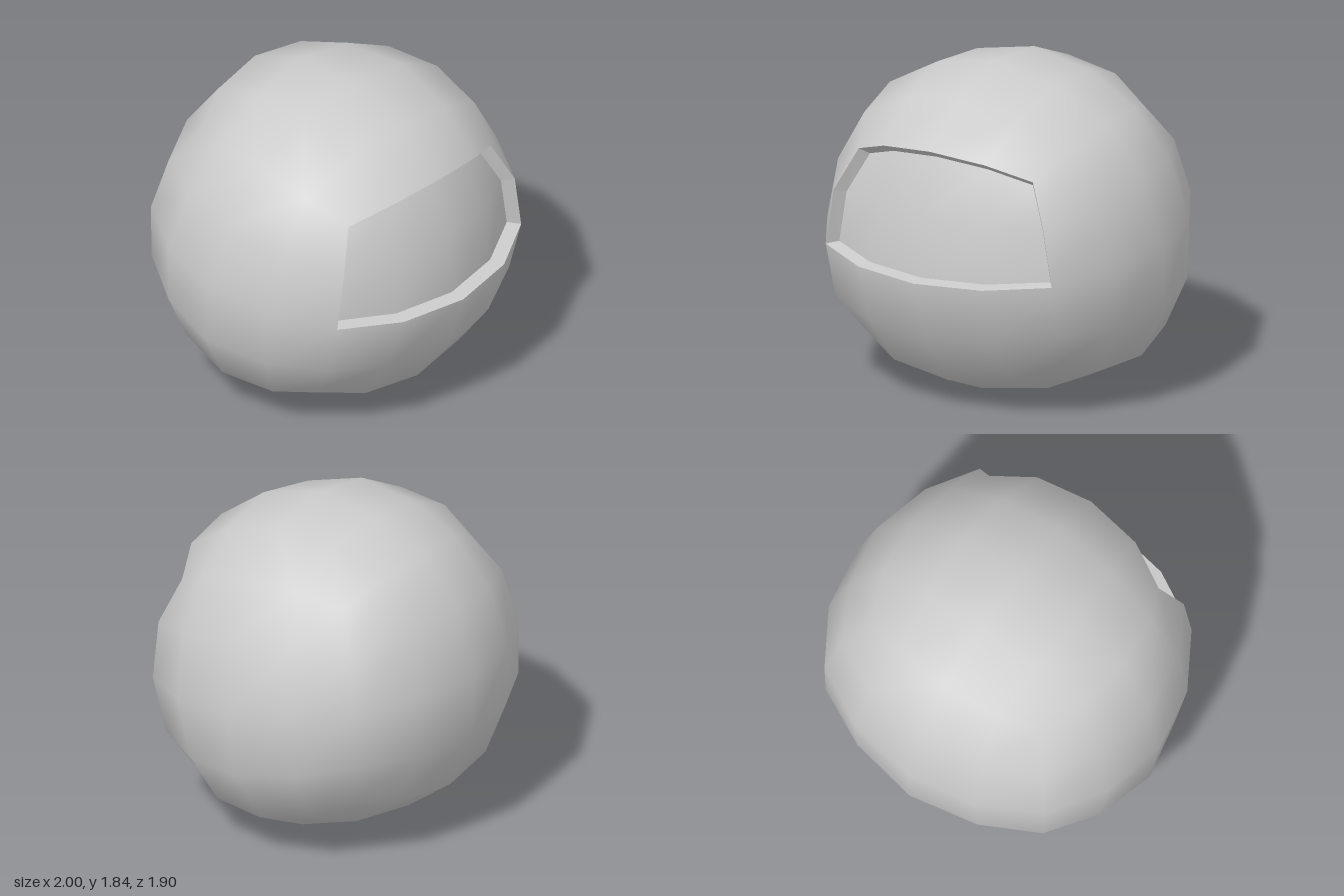
import * as THREE from 'three';
import { mergeVertices } from 'three/addons/utils/BufferGeometryUtils.js';

const TILT = THREE.MathUtils.degToRad(7.6);
const CENTRE_Y = 0.93;

// Maps a point of a cube (half size 1, quarter grid) onto the tilted, slightly egg-shaped ball
function toBall(p) {
  const c = p.toArray();
  const a = c.map(Math.abs).sort((m, n) => m - n);
  const bend = c.map((v, i) => {
    if (Math.abs(Math.abs(v) - 0.5) > 0.01) return v;
    const others = c.filter((_, j) => j !== i).map(Math.abs);
    return Math.sign(v) * (0.43 + 0.06 * Math.min(...others) ** 2);
  });
  const radius = 1 + 0.035 * a[1] ** 2 - 0.03 * a[0] ** 4;
  const q = new THREE.Vector3(...bend).normalize().multiplyScalar(radius);
  q.multiply(new THREE.Vector3(1, 0.93, 0.957));
  q.x *= q.y > 0 ? 1 - 0.05 * q.y : 1 - 0.15 * q.y; // fuller towards the bottom
  return q.applyAxisAngle(new THREE.Vector3(1, 0, 0), TILT);
}

// The recessed pane follows the ball a little further in
const toPane = (p) => toBall(p).multiply(new THREE.Vector3(0.935, 0.92, 0.91));

function mapPositions(geometry, rule) {
  const pos = geometry.attributes.position;
  const p = new THREE.Vector3();
  for (let i = 0; i < pos.count; i++) {
    const q = rule(p.fromBufferAttribute(pos, i));
    pos.setXYZ(i, q.x, q.y, q.z);
  }
  geometry.computeVertexNormals();
  return geometry;
}

function welded(geometry) {
  geometry.deleteAttribute('normal');
  geometry.deleteAttribute('uv');
  geometry.clearGroups();
  return mergeVertices(geometry, 1e-4);
}

// Ball with the upper half of its front patch left open
function shellGeometry() {
  const geometry = welded(new THREE.BoxGeometry(2, 2, 2, 4, 4, 4));
  const pos = geometry.attributes.position;
  const index = geometry.index.array;
  const kept = [];
  for (let i = 0; i < index.length; i += 3) {
    const tri = [index[i], index[i + 1], index[i + 2]];
    const open = tri.every((v) => pos.getZ(v) > 0.99 && pos.getY(v) > -0.01);
    if (!open) kept.push(...tri);
  }
  mapPositions(geometry, toBall); // normals come from the whole ball
  geometry.setIndex(kept);
  return geometry;
}

function paneGeometry() {
  const plane = welded(new THREE.PlaneGeometry(2, 1, 4, 2).translate(0, 0.5, 1));
  return mapPositions(plane, toPane);
}

// Flat-faced wall between the opening and the pane
function rimGeometry() {
  const loop = [];
  for (let i = 0; i < 4; i++) loop.push([-1 + i / 2, 0]);
  for (let i = 0; i < 2; i++) loop.push([1, i / 2]);
  for (let i = 0; i < 4; i++) loop.push([1 - i / 2, 1]);
  for (let i = 0; i < 2; i++) loop.push([-1, 1 - i / 2]);
  const points = [];
  loop.forEach(([x, y], i) => {
    const [nx, ny] = loop[(i + 1) % loop.length];
    const p = new THREE.Vector3(x, y, 1);
    const n = new THREE.Vector3(nx, ny, 1);
    const a = toBall(p), b = toBall(n), c = toPane(n), d = toPane(p);
    points.push(a, b, c, a, c, d);
  });
  const geometry = new THREE.BufferGeometry().setFromPoints(points);
  geometry.computeVertexNormals();
  return geometry;
}

export function createModel() {
  const group = new THREE.Group();
  group.name = 'helmet';
  const grey = new THREE.MeshStandardMaterial({ color: 0xcccccc, side: THREE.DoubleSide });

  const add = (name, geometry) => {
    const mesh = new THREE.Mesh(geometry, grey);
    mesh.name = name;
    mesh.position.y = CENTRE_Y;
    group.add(mesh);
  };
  add('shell', shellGeometry());
  add('visorRim', rimGeometry());
  add('visor', paneGeometry());

  // Stand on the ground
  const box = new THREE.Box3().setFromObject(group, true);
  group.children.forEach((m) => { m.position.y -= box.min.y; });
  return group;
}
